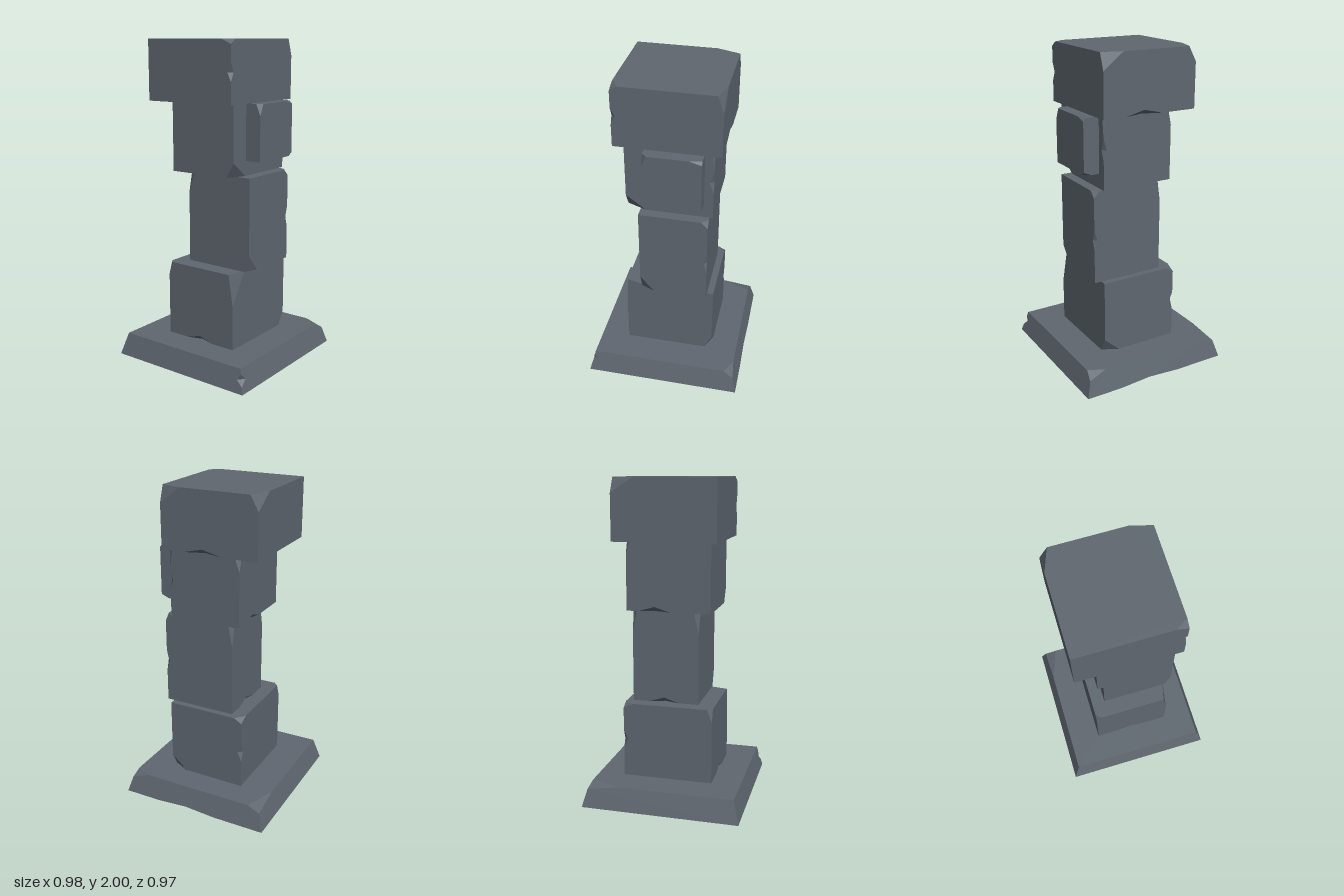
import * as THREE from 'three';

// Stone block with chipped corners and nicked edges.
// min, max: opposite corners of the block
// chips: [sx, sy, sz, dx, dy, dz]  corner signs and how far the cut runs along each edge
// nicks: [axis, s1, s2, from, to, d1, d2]  edge along axis; signs and depths on the next two axes
function stoneBlock(name, material, min, max, chips = [], nicks = [], warp = null) {
  const positions = [];
  const at = (signs) => signs.map((s, i) => (s > 0 ? max[i] : min[i]));
  const shifted = (p, axis, d) => p.map((c, i) => (i === axis ? c + d : c));

  // Adds a triangle facing the given direction
  const tri = (a, b, c, facing) => {
    const [A, B, C] = [a, b, c].map((p) => new THREE.Vector3(...p));
    const n = B.clone().sub(A).cross(C.clone().sub(A));
    const order = n.dot(new THREE.Vector3(...facing)) < 0 ? [a, c, b] : [a, b, c];
    order.forEach((p) => positions.push(...p));
  };

  const chipAt = (signs) => chips.find((c) => signs.every((s, i) => s === c[i]));
  const nickAt = (axis, signs) => nicks.find((n) =>
    n[0] === axis && n[1] === signs[(axis + 1) % 3] && n[2] === signs[(axis + 2) % 3]);

  // Six sides, each outlined around its chips and nicks
  for (let a = 0; a < 3; a++) {
    for (const s of [-1, 1]) {
      const u = (a + 1) % 3, v = (a + 2) % 3;
      const ring = [[-1, -1], [1, -1], [1, 1], [-1, 1]].map(([su, sv]) => {
        const signs = [0, 0, 0];
        signs[a] = s; signs[u] = su; signs[v] = sv;
        return signs;
      });
      const outline = [];
      ring.forEach((signs, i) => {
        const along = i % 2 ? v : u, across = i % 2 ? u : v;
        const corner = at(signs), chip = chipAt(signs);
        if (chip) {
          for (const k of [across, along]) outline.push(shifted(corner, k, -signs[k] * chip[3 + k]));
        } else outline.push(corner);
        const nick = nickAt(along, signs);
        if (nick) {
          const depth = nick[across === (along + 1) % 3 ? 5 : 6];
          const point = (t) => corner.map((c, k) => (k === along ? t : c));
          const mid = shifted(point((nick[3] + nick[4]) / 2), across, -signs[across] * depth);
          const ends = [point(nick[3]), mid, point(nick[4])];
          outline.push(...(signs[along] < 0 ? ends : ends.reverse()));
        }
      });
      const facing = [0, 0, 0];
      facing[a] = s;
      const flat = outline.map((p) => new THREE.Vector2(p[u], p[v]));
      for (const [i, j, k] of THREE.ShapeUtils.triangulateShape(flat, [])) {
        tri(outline[i], outline[j], outline[k], facing);
      }
    }
  }

  // Cut faces on the corners
  for (const c of chips) {
    const signs = c.slice(0, 3), p = at(signs);
    tri(...[0, 1, 2].map((k) => shifted(p, k, -signs[k] * c[3 + k])), signs);
  }

  // Two-sided hollows on the edges
  for (const [axis, s1, s2, from, to, d1, d2] of nicks) {
    const u = (axis + 1) % 3, v = (axis + 2) % 3;
    const signs = [0, 0, 0];
    signs[u] = s1; signs[v] = s2;
    const point = (t) => at(signs).map((c, k) => (k === axis ? t : c));
    const mid = point((from + to) / 2);
    const inU = shifted(mid, u, -s1 * d1), inV = shifted(mid, v, -s2 * d2);
    tri(point(from), inU, inV, signs);
    tri(point(to), inU, inV, signs);
  }

  const geometry = new THREE.BufferGeometry();
  geometry.setAttribute('position', new THREE.Float32BufferAttribute(positions, 3));
  if (warp) {
    const pos = geometry.attributes.position;
    for (let i = 0; i < pos.count; i++) pos.setXYZ(i, ...warp(pos.getX(i), pos.getY(i), pos.getZ(i)));
  }
  geometry.computeVertexNormals();
  const mesh = new THREE.Mesh(geometry, material);
  mesh.name = name;
  return mesh;
}

export function createModel() {
  const group = new THREE.Group();
  group.name = 'stonePillar';
  const stone = new THREE.MeshStandardMaterial({ color: 0x5f6770, flatShading: true });
  stone.name = 'slateStone';
  const add = (...args) => group.add(stoneBlock(args[0], stone, ...args.slice(1)));

  // Base slab, flaring out towards the ground
  const flare = (x, y, z) => {
    const k = 1 - y / 0.14;
    return [x * (1 + 0.08 * k), y, z * (1 + 0.09 * k)];
  };
  add('baseSlab', [-0.45, 0, -0.45], [0.46, 0.14, 0.44],
    [[1, 1, -1, 0.2, 0.03, 0.07], [1, 1, 1, 0.05, 0.04, 0.1]],
    [[1, 1, -1, 0.04, 0.11, 0.03, 0.04], [2, 1, -1, -0.15, 0.23, 0.02, 0.012]], flare);

  // Lower block
  add('lowerBlock', [-0.27, 0.14, -0.25], [0.295, 0.615, 0.25],
    [[-1, 1, 1, 0.12, 0.2, 0.03], [1, -1, 1, 0.05, 0.09, 0.1],
      [1, 1, -1, 0.06, 0.03, 0.05], [-1, 1, -1, 0.03, 0.08, 0.03]],
    [[1, -1, 1, 0.32, 0.44, 0.025, 0.025], [2, -1, -1, -0.1, 0.09, 0.03, 0.03]]);

  // Shaft block
  add('shaftBlock', [-0.165, 0.615, -0.165], [0.255, 1.195, 0.295],
    [[-1, -1, 1, 0.085, 0.105, 0.04], [1, 1, 1, 0.04, 0.04, 0.035],
      [1, 1, -1, 0.03, 0.13, 0.025], [-1, 1, -1, 0.03, 0.13, 0.05]],
    [[1, 1, 1, 0.82, 0.96, 0.02, 0.02], [0, -1, -1, -0.04, 0.15, 0.03, 0.03]]);

  // Upper block
  add('upperBlock', [-0.25, 1.2, -0.22], [0.275, 1.63, 0.24],
    [[-1, -1, 1, 0.12, 0.09, 0.05], [1, 1, -1, 0.03, 0.09, 0.03], [1, 1, 1, 0.015, 0.12, 0.02]],
    [[1, 1, 1, 1.37, 1.51, 0.02, 0.025], [0, -1, -1, 0, 0.2, 0.03, 0.03]]);

  // Raised front panel
  add('frontPanel', [-0.125, 1.29, 0.22], [0.22, 1.63, 0.34],
    [[-1, 1, 1, 0.03, 0.07, 0.03], [1, 1, 1, 0.07, 0.02, 0.02], [1, -1, 1, 0.03, 0.02, 0.05]]);

  // Capstone
  add('capstone', [-0.31, 1.63, -0.355], [0.32, 2, 0.265],
    [[1, 1, -1, 0.14, 0.09, 0.05], [1, 1, 1, 0.035, 0.1, 0.13], [-1, 1, 1, 0.045, 0.03, 0.07]],
    [[1, 1, -1, 1.76, 1.87, 0.025, 0.025], [2, 1, -1, -0.13, 0.12, 0.04, 0.03]]);

  return group;
}
